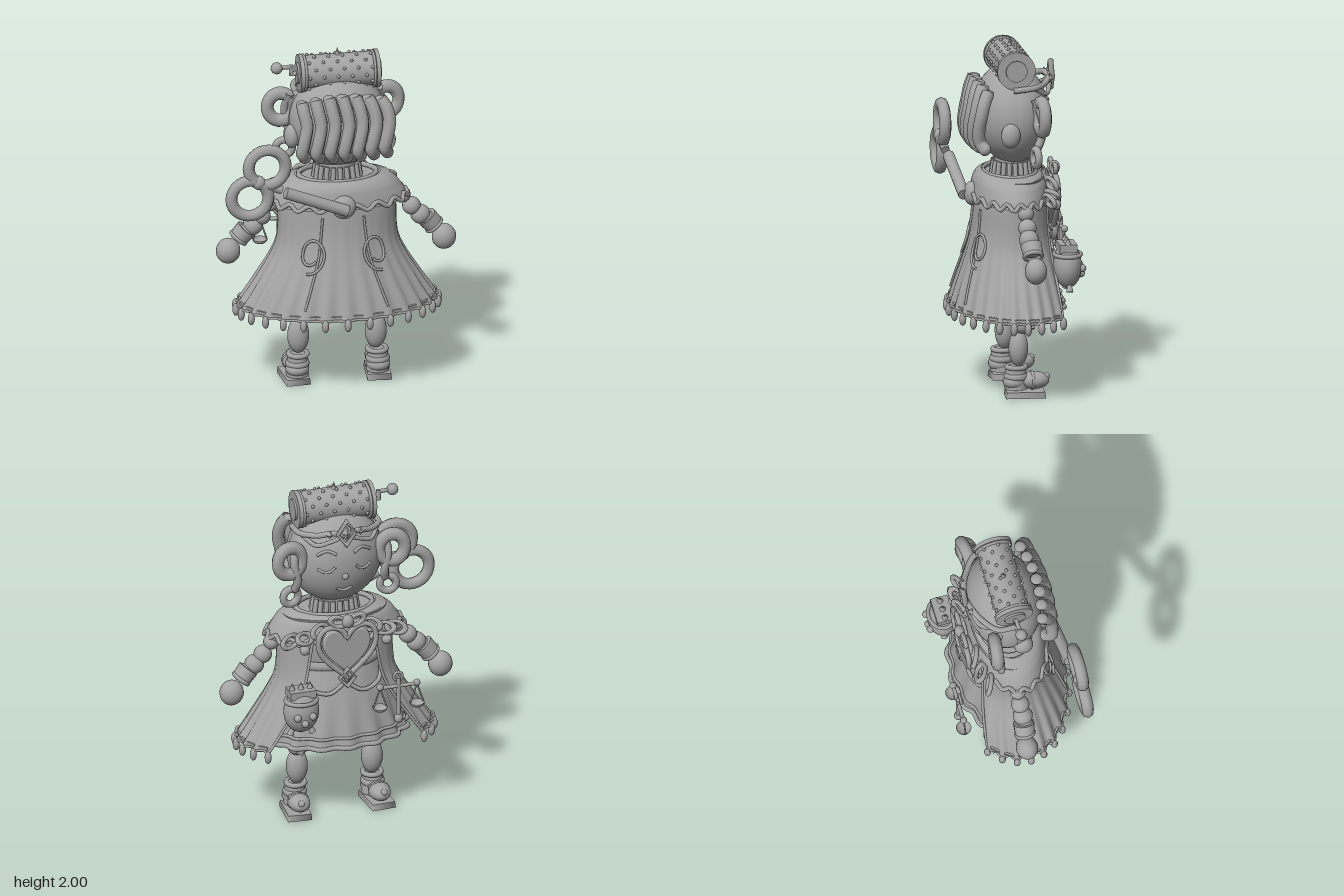
import * as THREE from 'three';

export function createModel() {
  const root = new THREE.Group();
  const grey = new THREE.MeshStandardMaterial({ color: 0xa3a3a3, side: THREE.DoubleSide });
  grey.name = 'grey';
  const V = (x, y, z) => new THREE.Vector3(x, y, z);
  const add = (name, geo, p = [0, 0, 0], r = [0, 0, 0], s = [1, 1, 1]) => {
    const m = new THREE.Mesh(geo, grey);
    m.name = name;
    m.position.set(...p); m.rotation.set(...r); m.scale.set(...s);
    root.add(m);
    return m;
  };
  // Small balls get fewer sides
  const ball = (name, p, size) => {
    const s = Array.isArray(size) ? size : [size, size, size], big = Math.max(...s);
    const n = big < .02 ? 8 : big < .045 ? 12 : big < .15 ? 20 : 36;
    return add(name, new THREE.SphereGeometry(1, n, Math.round(n * .65)), p, [0, 0, 0], s);
  };
  const ring = (name, p, R, t, r, s) => add(name, new THREE.TorusGeometry(R, t, 8, 26), p, r, s);
  const box = (name, p, s, r) => add(name, new THREE.BoxGeometry(...s), p, r);
  const tube = (name, pts, r, closed = false, n = 28) => add(name, new THREE.TubeGeometry(
    new THREE.CatmullRomCurve3(pts.map(q => q.isVector3 ? q : V(...q)), closed), n, r, 8, closed));
  const rod = (name, a, b, r0, r1 = r0) => {
    const A = V(...a), B = V(...b), m = add(name, new THREE.CylinderGeometry(r1, r0, A.distanceTo(B), 14));
    m.position.copy(A).lerp(B, 0.5);
    m.quaternion.setFromUnitVectors(V(0, 1, 0), B.sub(A).normalize());
    return m;
  };
  const diamond = (name, y, z, w, h) => {
    add(name + 'Frame', new THREE.TorusGeometry(1, .22, 6, 4), [0, y, z], [0, 0, 0], [w, h, .08]);
    add(name, new THREE.OctahedronGeometry(1), [0, y, z], [0, 0, 0], [w * .6, h * .6, .022]);
  };
  const each = (n, f) => { for (let i = 0; i < n; i++) f(i, i / n); };

  // Elliptical cloth: rows of [y, half width, half depth]; angle 0 is +z
  const clothAt = (rows, angle, y, out = 0, pleat = 0, folds = 16) => {
    let i = 0;
    while (i < rows.length - 2 && y < rows[i + 1][0]) i++;
    const [y0, a0, b0] = rows[i], [y1, a1, b1] = rows[i + 1];
    const k = (y0 - y) / (y0 - y1), drop = (rows[0][0] - y) / (rows[0][0] - rows.at(-1)[0]);
    const w = 1 + pleat * drop * drop * (Math.cos(angle * folds) - .6);
    return V(((a0 + (a1 - a0) * k) * w + out) * Math.sin(angle), y, ((b0 + (b1 - b0) * k) * w + out) * Math.cos(angle));
  };
  const cloth = (name, rows, edge, pleat, folds) => {
    const top = rows[0][0], low = rows.at(-1)[0];
    const g = new THREE.PlaneGeometry(1, 1, 160, 14), p = g.attributes.position;
    for (let i = 0; i < p.count; i++) {
      const k = 0.5 - p.getY(i), v = clothAt(rows, p.getX(i) * 2 * edge(k), top + (low - top) * k, 0, pleat, folds);
      p.setXYZ(i, v.x, v.y, v.z);
    }
    g.computeVertexNormals();
    return add(name, g);
  };

  // Coat, open at the face side, with a scalloped hem
  const coat = [[1.17, .33, .19], [1.05, .335, .205], [.95, .335, .215], [.85, .345, .235], [.75, .395, .265], [.6, .49, .315], [.48, .57, .35]];
  const edge = k => 2.6 - 0.38 * k, folds = 20 * Math.PI / 2.22;
  cloth('coat', coat, edge, .025, folds);
  for (const s of [-1, 1]) {
    const trim = [];
    each(9, i => trim.push(clothAt(coat, s * edge(i / 8), 1.17 - .69 * i / 8)));
    tube('coatEdge', trim, .008);
    // Back seam and scrolls
    const seam = [];
    each(8, i => { const y = 1.05 - i * .073; seam.push(clothAt(coat, s * Math.asin((.115 + i * .017) / (.335 + i * .028)), y, .006)); });
    tube('backSeam', seam, .007);
    const scroll = [];
    each(22, i => {
      const t = i / 21, u = -2.4 + t * 7.2, R = .035 + .04 * t;
      const y = .84 + 1.4 * R * Math.sin(u), x = .18 + R * Math.cos(u);
      scroll.push(clothAt(coat, s * Math.asin(x / .36), y, .01));
    });
    tube('backScroll', scroll, .008, false, 60);
  }
  each(21, i => {
    const a = -2.22 + 4.44 * i / 20, p = clothAt(coat, a, .48, .004);
    ball('tassel', [p.x, .457, p.z], [.02, .037, .02]);
    const q = clothAt(coat, a + .11, .5, -.008);
    if (i < 20) box('hemStitch', q.toArray(), [.06, .016, .012], [0, Math.atan2(q.x * .37, q.z), 0]);
  });
  const hem = [];
  each(81, i => hem.push(clothAt(coat, -2.22 + 4.44 * i / 80, .482, 0, .025, folds)));
  tube('coatHem', hem, .007, false, 120);

  // Dress beneath the coat
  const skirt = [[.95, .25, .165], [.85, .28, .195], [.7, .34, .235], [.48, .42, .287]];
  cloth('skirt', skirt, () => Math.PI, .04, 16);
  for (const [y, r] of [[.485, .014], [.54, .009]]) {
    const pts = [];
    each(96, (i, t) => pts.push(clothAt(skirt, t * Math.PI * 2, y, .004, .04)));
    tube('skirtFrill', pts, r, true, 128);
  }
  add('bodice', new THREE.CylinderGeometry(.3, .25, .3, 40), [0, 1.08, 0], [0, 0, 0], [1, 1, .58]);
  ring('belt', [0, .94, 0], .25, .02, [Math.PI / 2, 0, 0], [1, .68, 1.4]);

  // Shoulder cape with zigzag border
  const cape = [[1.25, .24, .15], [1.235, .29, .18], [1.2, .335, .198], [1.15, .37, .208], [1.1, .395, .215]];
  cloth('shoulderCape', cape, () => Math.PI, 0, 0).position.z = .015;
  const zig = [];
  each(36, (i, t) => zig.push(clothAt(cape, t * Math.PI * 2, i % 2 ? 1.13 : 1.095, .004)));
  tube('capeBorder', zig, .013, true, 144).position.z = .015;
  ring('neckRing', [0, 1.245, .01], .22, .015, [Math.PI / 2, 0, 0], [1, .66, 1]);
  add('neck', new THREE.CylinderGeometry(.11, .12, .16, 24), [0, 1.27, 0], [0, 0, 0], [1, 1, .85]);
  each(20, (i, t) => {
    const a = t * Math.PI * 2;
    rod('neckPleat', [.135 * Math.sin(a), 1.21, .115 * Math.cos(a)], [.12 * Math.sin(a), 1.31, .1 * Math.cos(a)], .014);
  });

  // Head, cap of hair and wavy back locks
  ball('head', [0, 1.57, -.005], [.272, .28, .203]);
  add('hairCap', new THREE.SphereGeometry(1, 32, 20, 0, Math.PI), [0, 1.58, .01], [0, 0, 0], [.275, .275, .208]);
  each(7, i => {
    const x = -.23 + i * .078, e = Math.abs(i - 3) / 3, z = -.03 * e * e, d = -.035 * e * e;
    const end = [x + .012, 1.425, .225 + z];
    tube('hairLock', [[x * .95 - .01, 1.775 + d, .2 + z], [x + .008, 1.71 + d / 2, .225 + z], [x + .022, 1.62, .245 + z],
      [x + .004, 1.52, .258 + z], [x - .006, 1.46, .25 + z], end], .036);
    ball('lockTip', end, .036);
    ball('lockRoot', [x * .95 - .01, 1.772 + d, .2 + z], [.034, .018, .034]);
  });
  for (const s of [-1, 1]) {
    ball('ear', [s * .265, 1.5, .05], [.045, .07, .055]);
    ring('sideHairLoop', [s * .3, 1.61, -.12], .073, .036, [0, s * .12, 0], [1, 1.12, 1]);
    ring('lowerCurl', [s * .285, 1.375, -.09], .046, .022, [0, s * .15, 0]);
    tube('templeLock', [[s * .25, 1.7, -.09], [s * .275, 1.6, -.125], [s * .255, 1.48, -.125], [s * .265, 1.42, -.1]], .024);
    // Face details
    tube('closedEye', [[s * .06, 1.575, -.205], [s * .085, 1.55, -.198], [s * .12, 1.545, -.188], [s * .155, 1.565, -.172]], .008);
    tube('eyebrow', [[s * .05, 1.65, -.198], [s * .1, 1.67, -.182], [s * .155, 1.645, -.163]], .009);
    // Tiara swags
    tube('tiaraBand', [[s * .24, 1.75, .03], [s * .23, 1.76, -.09], [s * .15, 1.765, -.16], [s * .07, 1.785, -.2], [0, 1.77, -.215]], .017);
    tube('tiaraSwag', [[s * .22, 1.75, -.1], [s * .16, 1.71, -.17], [s * .09, 1.73, -.195], [0, 1.77, -.215]], .013);
    add('tiaraSideGem', new THREE.OctahedronGeometry(.026), [s * .09, 1.78, -.2]);
  }
  ball('nose', [0, 1.51, -.2], .02);
  tube('mouth', [[-.045, 1.43, -.178], [0, 1.415, -.178], [.045, 1.43, -.178]], .008);
  diamond('tiaraGem', 1.785, -.222, .05, .075);

  // Studded music drum with crank
  const X = [0, 0, Math.PI / 2];
  add('drum', new THREE.CylinderGeometry(.096, .096, .42, 36), [.005, 1.863, .012], X);
  for (const s of [-1, 1]) {
    add('drumRim', new THREE.CylinderGeometry(.108, .108, .022, 36), [.005 + s * .215, 1.86, .012], X);
    ring('drumRimBead', [.005 + s * .195, 1.86, .012], .1, .008, [0, Math.PI / 2, 0]);
    add('drumCap', new THREE.CylinderGeometry(.06, .06, .02, 28), [.005 + s * .228, 1.86, .012], X);
  }
  each(14, (i, t) => each(5, j => {
    const a = t * Math.PI * 2, x = -.17 + j * .08 + (i % 2) * .035;
    ball('drumPin', [x, 1.863 + .099 * Math.sin(a), .012 + .099 * Math.cos(a)], .01);
  }));
  add('drumSpike', new THREE.ConeGeometry(.018, .05, 6), [0, 1.975, .01]);
  rod('crankAxle', [-.22, 1.86, .01], [-.27, 1.86, .01], .013);
  rod('crankArm', [-.262, 1.85, .01], [-.262, 1.91, .01], .013);
  rod('crankGrip', [-.26, 1.9, .01], [-.33, 1.9, .015], .012);
  ball('crankKnob', [-.345, 1.9, .015], .034);

  // Wind-up key on the back
  ball('keySocket', [0, 1.12, .225], [.068, .068, .045]);
  rod('keyShaft', [.01, 1.115, .27], [-.345, 1.26, .295], .033);
  rod('keyNeck', [-.37, 1.285, .308], [-.53, 1.355, .312], .024);
  ball('keyHub', [-.5, 1.34, .312], .04);
  ring('keyLoop', [-.452, 1.428, .312], .105, .034);
  ring('keyLoop', [-.55, 1.25, .312], .105, .034);

  // Beaded arms and legs with boots
  for (const s of [-1, 1]) {
    [[.375, 1.075, .045], [.425, 1.005, .052], [.475, .95, .056], [.52, .91, .05]].forEach(([x, y, r]) => ball('armBead', [s * x, y, -.015], r));
    rod('cuff', [s * .51, .93, -.02], [s * .55, .882, -.025], .06, .056);
    ring('cuffRing', [s * .555, .875, -.025], .048, .013, [Math.PI / 2, s * .7, 0]);
    ball('hand', [s * .612, .8, -.03], [.069, .074, .062]);
    const x = s * .22;
    rod('thigh', [x * .85, .75, 0], [x, .42, -.02], .06);
    ball('thighBead', [x, .5, -.01], .07);
    ball('knee', [x, .405, -.02], [.06, .05, .06]);
    box('kneeCharm', [x, .41, -.08], [.035, .06, .02], [0, 0, .4]);
    ball('shin', [x, .275, 0], [.062, .105, .055]);
    add('bootShaft', new THREE.CylinderGeometry(.056, .065, .13, 24), [x + s * .008, .11, .015]);
    ring('bootCuff', [x + s * .004, .168, .012], .052, .015, [Math.PI / 2, 0, 0]);
    ring('bootFold', [x + s * .008, .115, .015], .054, .015, [Math.PI / 2, 0, 0], [1, 1, 1.4]);
    ball('heel', [x + s * .01, .085, .025], [.068, .045, .065]);
    ball('bootToe', [x + s * .016, .09, -.085], [.062, .05, .088]);
    ball('toeBead', [x + s * .022, .11, -.155], .02);
    ring('toeStrap', [x + s * .016, .09, -.075], .055, .009, [0, 0, 0], [1, .85, 1]);
    add('bootSole', new THREE.CylinderGeometry(.086, .09, .035, 4, 1, false, Math.PI / 4), [x + s * .018, .0175, -.035], [0, s * -.08, 0], [1.08, 1, 1.75]);
  }

  // Heart breastplate, brooch and linked chain
  const heart = new THREE.Shape();
  heart.moveTo(0, -.16);
  heart.bezierCurveTo(-.07, -.09, -.17, -.03, -.16, .07);
  heart.bezierCurveTo(-.15, .17, -.03, .16, 0, .07);
  heart.bezierCurveTo(.03, .16, .15, .17, .16, .07);
  heart.bezierCurveTo(.17, -.03, .07, -.09, 0, -.16);
  add('heartPlate', new THREE.ExtrudeGeometry(heart, { depth: .02, bevelSize: .012, bevelThickness: .012, curveSegments: 16 }), [0, 1.07, -.225], [0, 0, 0], [.8, .8, 1]);
  tube('heartFrame', heart.getPoints(8).slice(0, -1).map(q => V(q.x * 1.05, 1.07 + q.y * 1.05, -.235)), .016, true, 80);
  diamond('heartGem', .9, -.24, .045, .055);
  ball('brooch', [0, 1.25, -.245], [.035, .04, .03]);
  for (const s of [-1, 1]) {
    ring('bowLoop', [s * .055, 1.25, -.235], .035, .014, [0, 0, s * .4], [1.3, .8, 1]);
    [[.15, 1.19, -.2], [.235, 1.15, -.19], [.31, 1.13, -.16]].forEach(([x, y, z], i) =>
      ring('chainLink', [s * x, y, z], .042, .014, [i % 2 ? .9 : .3, s * .35, s * -.3], [1.25, .8, 1]));
    ball('chainBell', [s * .24, 1.09, -.21], .03);
    tube('skirtSwag', [[s * .24, .92, -.1], [s * .2, .83, -.18], [s * .1, .8, -.215], [0, .86, -.21]], .012);
  }

  // Round purse with toothed clasp
  ball('purse', [.28, .75, -.268], [.103, .128, .08]);
  box('purseClasp', [.28, .86, -.262], [.15, .045, .1]);
  ring('purseBand', [.28, .815, -.268], .088, .013, [Math.PI / 2, 0, 0], [1, .85, 1]);
  for (const s of [-1, 0, 1]) {
    add('claspTooth', new THREE.ConeGeometry(.02, .045, 8), [.28 + s * .052, .9, -.262]);
    ball('pursePearl', [.28 + s * .045, .74 - (s ? 0 : .04), -.345], .022);
  }
  for (const s of [-1, 1]) rod('purseTassel', [.28 + s * .05, .65, -.27], [.28 + s * .065, .61, -.27], .012, .02);

  // Hanging balance scales
  rod('scalePost', [-.27, .65, -.33], [-.27, .9, -.33], .012);
  rod('scaleBeam', [-.385, .85, -.33], [-.155, .85, -.33], .011);
  ring('scaleHook', [-.27, .905, -.32], .025, .008);
  ball('scaleFoot', [-.27, .65, -.33], [.025, .03, .025]);
  for (const s of [-1, 1]) {
    const x = -.27 + s * .108;
    ball('beamBead', [x, .855, -.33], .02);
    for (const k of [-1, 1]) rod('panCord', [x, .85, -.33], [x + k * .038, .735, -.33], .005);
    add('scalePan', new THREE.SphereGeometry(.043, 20, 8, 0, Math.PI * 2, Math.PI / 2, Math.PI / 2), [x, .735, -.33], [0, 0, 0], [1, .7, 1]);
  }
  return root;
}
